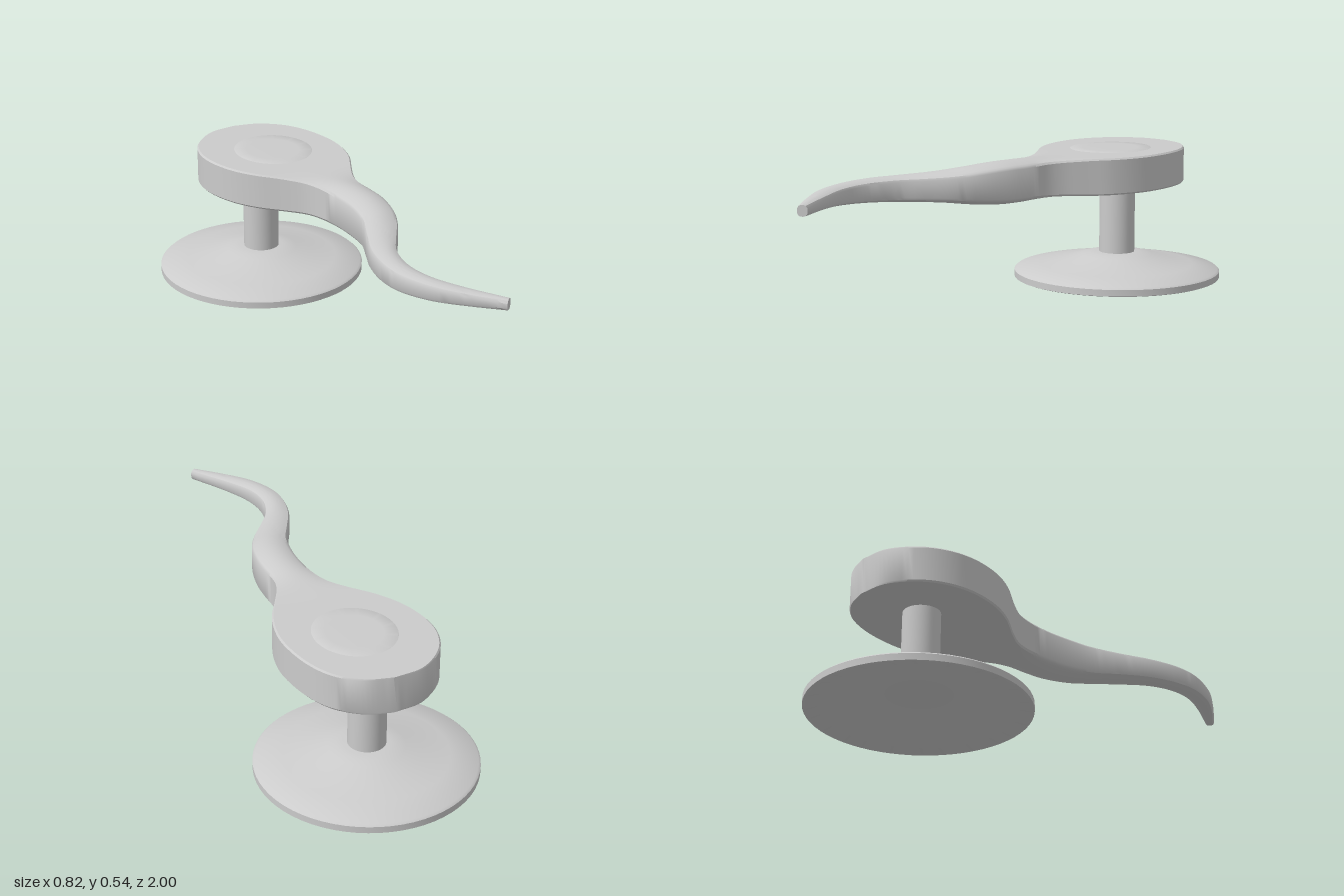
import * as THREE from 'three';
import { toCreasedNormals } from 'three/addons/utils/BufferGeometryUtils.js';

const material = new THREE.MeshStandardMaterial({ color: 0xcccccc });
const CENTRE_Z = -0.595;

// Lever outline, head to tip: left x, left z, right x, right z, bottom y, top y
const SECTIONS = [
  [0.005, -0.85, 0.025, -0.85, 0.385, 0.525],
  [-0.10, -0.83, 0.12, -0.825, 0.385, 0.525],
  [-0.19, -0.755, 0.205, -0.755, 0.385, 0.525],
  [-0.238, -0.66, 0.257, -0.65, 0.385, 0.525],
  [-0.248, -0.55, 0.282, -0.52, 0.385, 0.525],
  [-0.22, -0.43, 0.278, -0.42, 0.385, 0.525],
  [-0.165, -0.33, 0.252, -0.32, 0.385, 0.525],
  [-0.085, -0.235, 0.205, -0.225, 0.385, 0.526],
  [-0.032, -0.16, 0.165, -0.14, 0.383, 0.529],
  [-0.007, -0.08, 0.149, -0.07, 0.379, 0.533],
  [0.003, 0.02, 0.153, 0.02, 0.376, 0.536],
  [0, 0.13, 0.15, 0.11, 0.378, 0.535],
  [-0.02, 0.23, 0.13, 0.21, 0.387, 0.526],
  [-0.068, 0.34, 0.09, 0.3, 0.399, 0.513],
  [-0.115, 0.45, 0.025, 0.4, 0.406, 0.505],
  [-0.138, 0.57, -0.03, 0.49, 0.411, 0.501],
  [-0.13, 0.68, -0.055, 0.6, 0.416, 0.496],
  [-0.08, 0.8, -0.04, 0.71, 0.422, 0.49],
  [0.0, 0.905, 0.02, 0.83, 0.429, 0.482],
  [0.085, 0.998, 0.113, 0.975, 0.435, 0.475],
];

function curveThrough(toVector) {
  return new THREE.CatmullRomCurve3(SECTIONS.map(toVector), false, 'catmullrom', 0.5);
}

// Lofts a crowned, lightly bevelled rectangle through the sections
function leverGeometry() {
  const left = curveThrough(s => new THREE.Vector3(s[0], 0, s[1]));
  const right = curveThrough(s => new THREE.Vector3(s[2], 0, s[3]));
  const height = curveThrough(s => new THREE.Vector3(s[4], s[5], 0));
  const rows = 114, across = 12, positions = [], index = [];
  const ringSize = 2 * (across + 3);

  for (let i = 0; i <= rows; i++) {
    const t = i / rows;
    const l = left.getPoint(t), r = right.getPoint(t), h = height.getPoint(t);
    const width = l.distanceTo(r), thick = h.y - h.x;
    const bevel = Math.min(0.006, width * 0.2);
    const inset = bevel / width;
    const crown = 0.13 * thick * THREE.MathUtils.smoothstep((l.z + r.z) / 2, -0.3, 0.05);
    const add = (u, y) => positions.push(l.x + (r.x - l.x) * u, y, l.z + (r.z - l.z) * u);
    const face = (u, top) => {
      const drop = crown * (2 * u - 1) ** 2;
      return top ? h.y - drop : h.x + drop;
    };
    // Bottom left to right, then top right to left
    for (const top of [false, true]) {
      const step = top ? -bevel : bevel;
      add(top ? 1 : 0, face(0, top) + step);
      for (let j = 0; j <= across; j++) {
        const s = inset + (1 - 2 * inset) * j / across;
        const u = top ? 1 - s : s;
        add(u, face(u, top));
      }
      add(top ? 0 : 1, face(1, top) + step);
    }
  }
  for (let i = 0; i < rows; i++) {
    for (let j = 0; j < ringSize; j++) {
      const a = i * ringSize + j, b = i * ringSize + (j + 1) % ringSize;
      index.push(a, b, b + ringSize, a, b + ringSize, a + ringSize);
    }
  }
  // End caps
  const last = rows * ringSize;
  for (let j = 1; j < ringSize - 1; j++) {
    index.push(0, j + 1, j, last, last + j, last + j + 1);
  }
  const geometry = new THREE.BufferGeometry();
  geometry.setAttribute('position', new THREE.Float32BufferAttribute(positions, 3));
  geometry.setIndex(index);
  return toCreasedNormals(geometry, 0.6);
}

function lathe(points) {
  const geometry = new THREE.LatheGeometry(points.map(p => new THREE.Vector2(...p)), 64);
  return toCreasedNormals(geometry, 0.6);
}

export function createModel() {
  const group = new THREE.Group();
  const add = (name, geometry, x, y, z) => {
    const mesh = new THREE.Mesh(geometry, material);
    mesh.name = name;
    mesh.position.set(x, y, z);
    group.add(mesh);
    return mesh;
  };

  // Flared round base with a shallow dished underside
  add('base', lathe([
    [0, 0.07], [0.08, 0.07], [0.13, 0.062], [0.2, 0.045], [0.3, 0.024], [0.395, 0.002],
    [0.4, 0], [0.408, 0.003], [0.408, 0.028], [0.4, 0.035], [0.3, 0.054], [0.2, 0.074],
    [0.14, 0.091], [0.11, 0.098], [0.085, 0.101], [0, 0.101],
  ]), 0, 0, CENTRE_Z);

  // Post between base and lever
  add('stem', new THREE.CylinderGeometry(0.07, 0.07, 0.31, 48), 0, 0.245, CENTRE_Z);

  // Rounded head sweeping into a wavy tapering tail
  add('lever', leverGeometry(), 0, 0, 0);

  // Barely raised disc on top of the head
  const disc = add('headDisc', lathe([[0.15, 0], [0.147, 0.0015], [0.1, 0.002], [0, 0.002]]),
    0.025, 0.525, -0.53);
  disc.scale.z = 1.1;

  return group;
}
